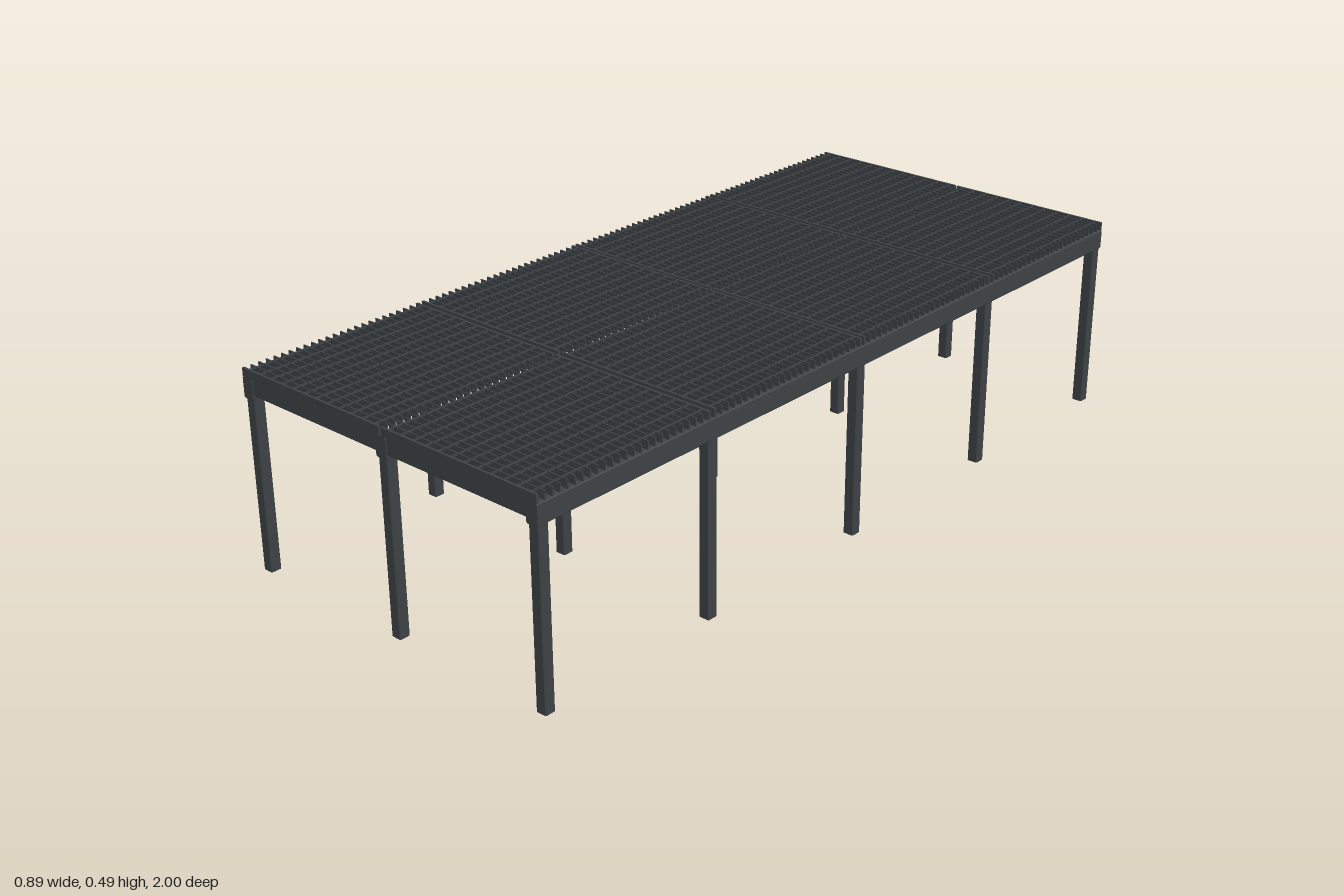
import * as THREE from 'three';

// Rectangle with cut corners, swept to a length along z
function barGeometry(w, h, len, cut) {
  const a = w / 2, b = h / 2;
  const s = new THREE.Shape();
  s.moveTo(-a + cut, -b);
  s.lineTo(a - cut, -b);
  s.lineTo(a, -b + cut);
  s.lineTo(a, b - cut);
  s.lineTo(a - cut, b);
  s.lineTo(-a + cut, b);
  s.lineTo(-a, b - cut);
  s.lineTo(-a, -b + cut);
  s.closePath();
  return new THREE.ExtrudeGeometry(s, { depth: len, bevelEnabled: false }).translate(0, 0, -len / 2);
}

export function createModel() {
  const model = new THREE.Group();
  model.name = 'gratingPlatform';
  const steel = new THREE.MeshStandardMaterial({ color: 0x3d4246 });
  steel.name = 'anthracite steel';

  const add = (parent, name, geometry, x, y, z) => {
    const mesh = new THREE.Mesh(geometry, steel);
    mesh.name = name;
    mesh.position.set(x, y, z);
    parent.add(mesh);
  };

  const columns = [-0.4315, 0, 0.4315];
  const rows = [-0.983, -0.5, 0, 0.5, 0.983];

  // Legs under every beam crossing
  const legGeo = barGeometry(0.027, 0.027, 0.425, 0.002).rotateX(-Math.PI / 2);
  for (const x of columns) for (const z of rows) add(model, 'leg', legGeo, x, 0.2125, z);

  // Long beams over the legs
  const longGeo = barGeometry(0.031, 0.05, 2, 0.003);
  for (const x of columns) add(model, 'longBeam', longGeo, x, 0.445, 0);

  // Cross beams between the long beams
  const crossGeo = barGeometry(0.029, 0.04, 0.404, 0.002).rotateY(Math.PI / 2);
  for (const z of rows) for (const x of [-0.2155, 0.2155]) add(model, 'crossBeam', crossGeo, x, 0.45, z);

  // Grating panels: upright bars along x, thin rods along z near the top
  const width = 0.443, depth = 0.492, bars = 25, rods = 12;
  const barGeo = new THREE.BoxGeometry(width, 0.02, 0.003);
  const endGeo = new THREE.BoxGeometry(width, 0.02, 0.006);
  const rodGeo = new THREE.BoxGeometry(0.003, 0.004, depth);
  for (const x of [-0.2245, 0.2245]) {
    // Outer panels reach the ends of the long beams
    for (const z of [-0.754, -0.25, 0.25, 0.754]) {
      const panel = new THREE.Group();
      panel.name = 'gratingPanel';
      panel.position.set(x, 0.48, z);
      for (let i = 0; i < bars; i++) {
        const isEnd = i === 0 || i === bars - 1;
        add(panel, isEnd ? 'endBar' : 'bearingBar', isEnd ? endGeo : barGeo,
          0, 0, (i / (bars - 1) - 0.5) * (depth - 0.006));
      }
      // Rods stop short of the free bar ends
      for (let i = 0; i < rods; i++) {
        add(panel, 'crossRod', rodGeo, ((i + 0.5) / rods - 0.5) * width, 0.0078, 0);
      }
      model.add(panel);
    }
  }
  return model;
}
